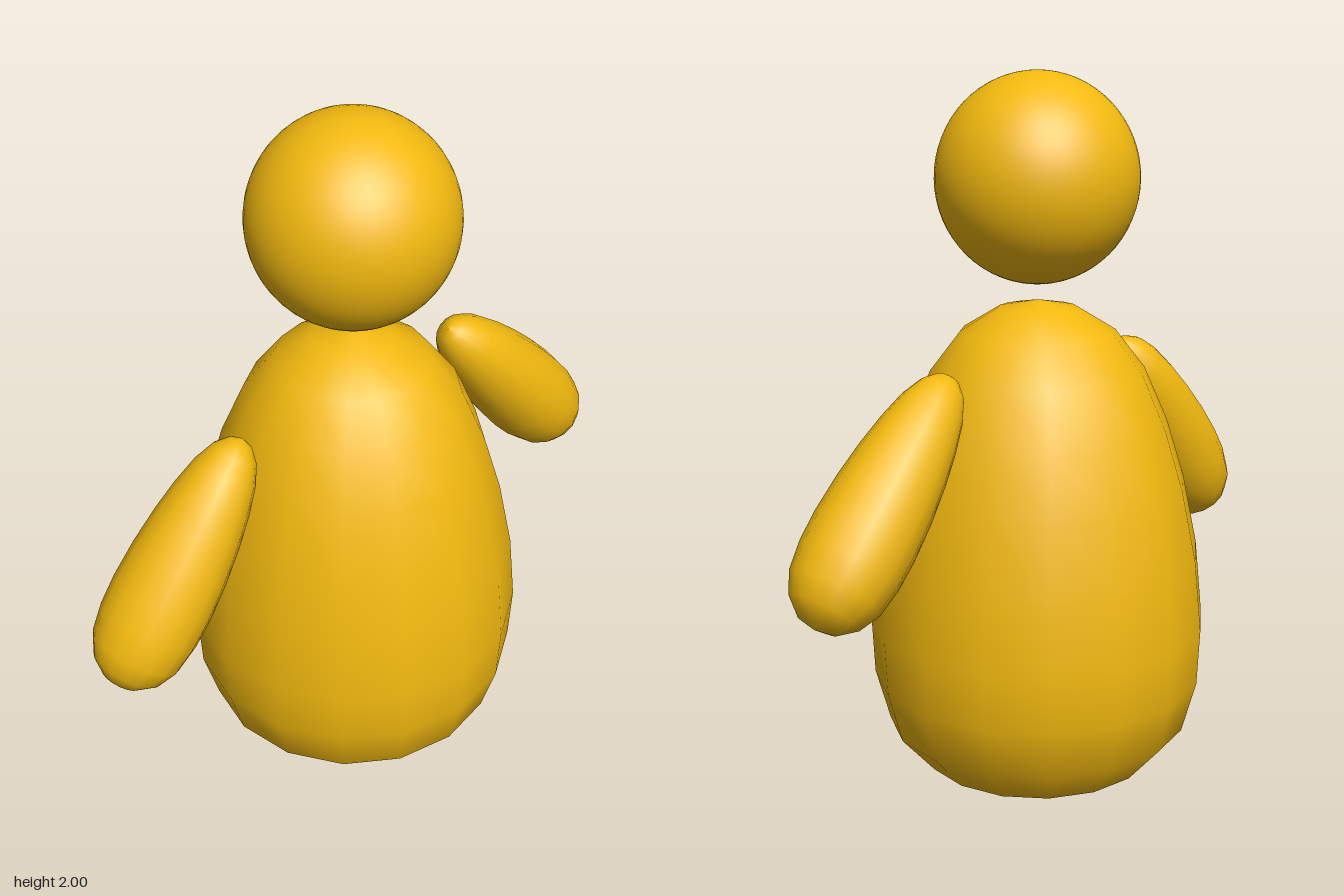
import * as THREE from 'three';

const material = new THREE.MeshStandardMaterial({ color: 0xf2b90f });

// Egg profile as [radius, height], bottom to top, with unit radius and unit height
const EGG = [
  [0, 0], [0.39, 0.016], [0.7, 0.065], [0.9, 0.141], [0.985, 0.245], [1, 0.357],
  [0.958, 0.5], [0.872, 0.64], [0.765, 0.757], [0.625, 0.864], [0.45, 0.94],
  [0.23, 0.985], [0, 1],
];
const eggGeometry = new THREE.LatheGeometry(EGG.map(([r, y]) => new THREE.Vector2(r, y)), 16);

function addPart(group, name, geometry) {
  const mesh = new THREE.Mesh(geometry, material);
  mesh.name = name;
  group.add(mesh);
  return mesh;
}

// Arm: a slender egg hanging from its narrow shoulder tip
function addArm(group, name, x, y, angle) {
  const length = 0.73;
  const arm = addPart(group, name, eggGeometry);
  arm.scale.set(0.135, length, 0.14);
  arm.rotation.z = angle;
  arm.position.set(x + length * Math.sin(angle), y - length * Math.cos(angle), 0);
}

export function createModel() {
  const group = new THREE.Group();
  group.name = 'figure';

  // Egg-shaped body
  const body = addPart(group, 'body', eggGeometry);
  body.scale.set(0.467, 1.395, 0.467);
  body.position.set(-0.01, 0.005, 0);

  // Floating round head
  const head = addPart(group, 'head', new THREE.SphereGeometry(1, 48, 32));
  head.scale.set(0.272, 0.278, 0.272);
  head.position.set(-0.008, 1.722, 0);

  // Arms, the left one raised slightly more
  addArm(group, 'leftArm', 0.34, 1.25, 0.735);
  addArm(group, 'rightArm', -0.38, 1.23, -0.645);

  return group;
}
